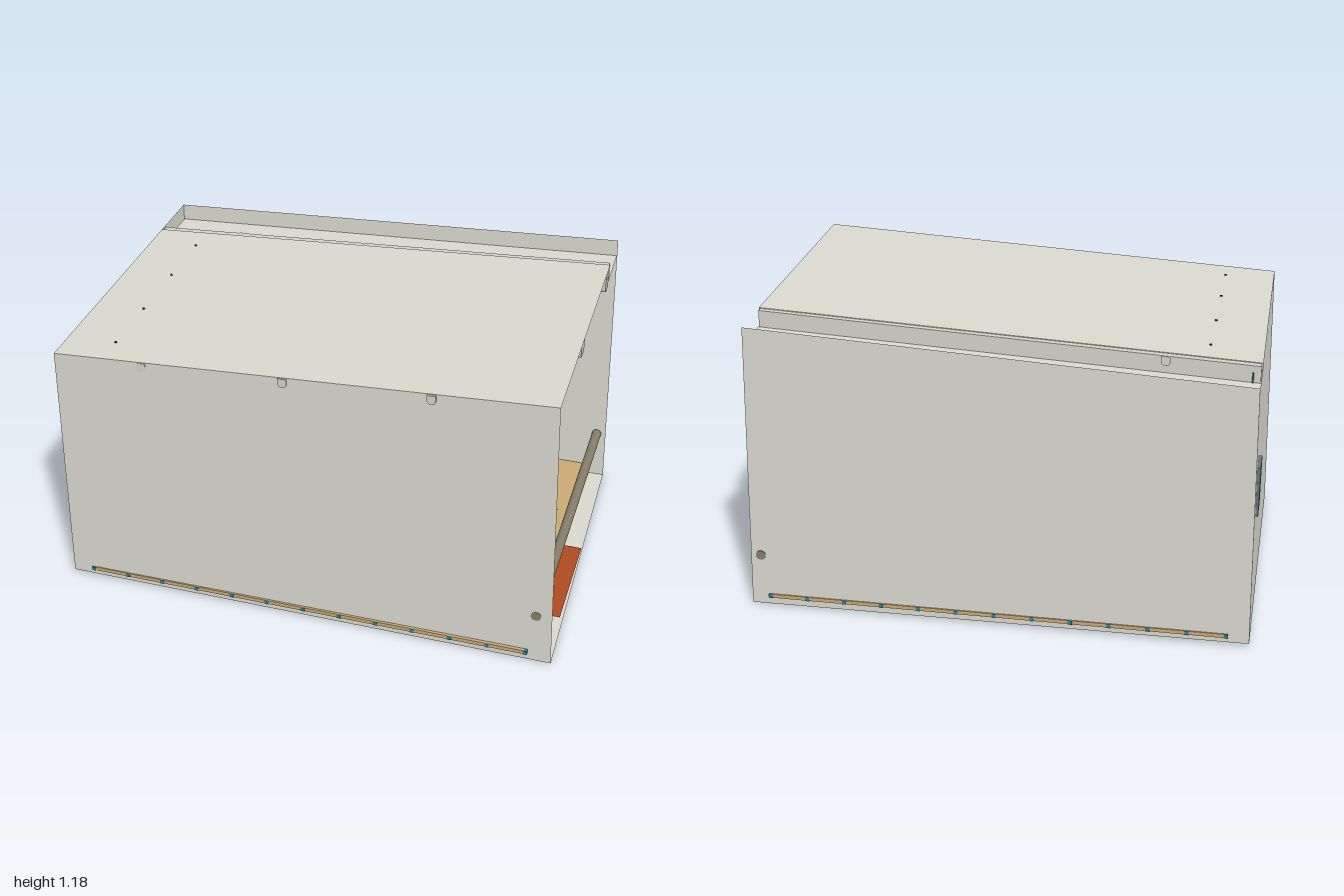
import * as THREE from 'three';
import { mergeGeometries } from 'three/addons/utils/BufferGeometryUtils.js';

const mat = (name, color) => Object.assign(new THREE.MeshStandardMaterial({ color }), { name });

export function createModel() {
  const root = new THREE.Group();
  root.name = 'openRoom';
  const shellMat = mat('pale grey shell', 0xd9d8ce);
  shellMat.side = THREE.DoubleSide;
  const beamMat = mat('light grey steel', 0xd2d0c8);
  const tan = mat('plywood tan', 0xc9a873);
  const teal = mat('teal', 0x2f7f92);
  const rust = mat('rust orange', 0xad4a20);
  rust.side = THREE.DoubleSide;
  const slate = mat('slate', 0x66727d);
  const brown = mat('pole brown grey', 0x857d69);
  const dark = mat('dark cable', 0x2c3a42);

  const add = (name, geometry, material, x = 0, y = 0, z = 0) => {
    const mesh = new THREE.Mesh(geometry, material);
    mesh.name = name;
    mesh.position.set(x, y, z);
    root.add(mesh);
    return mesh;
  };
  // box given by its lower and upper corner
  const box = (name, material, a, b) => add(name,
    new THREE.BoxGeometry(b[0] - a[0], b[1] - a[1], b[2] - a[2]), material,
    (a[0] + b[0]) / 2, (a[1] + b[1]) / 2, (a[2] + b[2]) / 2);
  // four corners, counter-clockwise seen from outside
  const quad = (name, material, ...p) => {
    const g = new THREE.BufferGeometry();
    g.setAttribute('position', new THREE.Float32BufferAttribute(p.flat(), 3));
    g.setIndex([0, 1, 2, 0, 2, 3]);
    g.computeVertexNormals();
    return add(name, g, material);
  };
  // height of the sloping roof at x
  const roofY = x => 1.1246 + 0.0565 * x;

  // shell: slightly skewed room, open at +x
  const low = { fl: [-1, 0.015, 0.66], fr: [1, 0, 0.648], br: [0.975, 0.005, -0.668], bl: [-1, 0.015, -0.668] };
  const top = {
    fl: [-0.982, roofY(-0.982), 0.675], fr: [0.965, roofY(0.965), 0.665],
    br: [0.945, roofY(0.945), -0.668], bl: [-0.985, roofY(-0.985), -0.668],
  };
  const edgeR = [0.95, roofY(0.95), -0.445], edgeL = [-0.985, roofY(-0.985), -0.415];
  const drop = ([x, y, z], d = 0.07) => [x, y - d, z];
  quad('frontWall', shellMat, low.fl, low.fr, top.fr, top.fl);
  quad('backWall', shellMat, low.br, low.bl, top.bl, top.br);
  quad('endWall', shellMat, low.bl, low.fl, top.fl, top.bl);
  quad('floor', shellMat, low.fl, low.bl, low.br, low.fr);
  quad('mainRoof', shellMat, top.fl, top.fr, edgeR, edgeL);
  quad('gutterRoof', shellMat, drop(edgeL), drop(edgeR), drop(top.br), drop(top.bl));
  quad('roofStep', shellMat, edgeR, edgeL, drop(edgeL), drop(edgeR));

  // profile with flat top at y = 0 and rounded bottom
  const roundedProfile = (w, h, r) => {
    const s = new THREE.Shape();
    s.moveTo(-w / 2, 0);
    s.lineTo(-w / 2, -h + r);
    s.quadraticCurveTo(-w / 2, -h, -w / 2 + r, -h);
    s.lineTo(w / 2 - r, -h);
    s.quadraticCurveTo(w / 2, -h, w / 2, -h + r);
    s.lineTo(w / 2, 0);
    return s;
  };
  // main beams follow the roof slope and run slightly skewed
  const beam = (name, zLeft, zRight) => {
    const x0 = -0.98, length = 1.925;
    const g = new THREE.ExtrudeGeometry(roundedProfile(0.066, 0.108, 0.022),
      { depth: length, bevelEnabled: false, curveSegments: 6 });
    g.rotateY(Math.PI / 2);
    const p = g.attributes.position;
    for (let i = 0; i < p.count; i++) {
      const x = p.getX(i) + x0;
      p.setXYZ(i, x, p.getY(i) + roofY(x) - 0.003,
        p.getZ(i) + THREE.MathUtils.lerp(zLeft, zRight, (x - x0) / length));
    }
    g.computeVertexNormals();
    add(name, g, beamMat);
  };
  beam('middleBeam', 0.138, 0.1);
  beam('edgeBeam', -0.412, -0.436);

  // cross rails whose ends show through the front wall and the roof step
  const railXs = [-0.625, -0.065, 0.5];
  for (const x of railXs) {
    const g = new THREE.ExtrudeGeometry(roundedProfile(0.034, 0.036, 0.015),
      { depth: 1.13, bevelEnabled: false, curveSegments: 6 });
    add('crossRail', g, beamMat, x, roofY(x) - 0.004, -0.455);
  }

  // plywood deck with joists visible along its edges
  box('deck', tan, [-0.905, 0.034, -0.673], [0.895, 0.05, 0.664]);
  for (let i = 0; i < 13; i++) {
    const x = -0.911 + i * 0.1508;
    box('joist', teal, [x - 0.008, 0.033, -0.675], [x + 0.008, 0.0495, 0.666]);
  }
  const dashes = [];
  for (let x = -0.87; x < 0.88; x += 0.05)
    dashes.push(new THREE.BoxGeometry(0.02, 0.002, 0.005).translate(x, 0.0505, -0.285));
  add('deckSlots', mergeGeometries(dashes), dark);

  // entry mat
  quad('mat', rust, [0.5, 0.054, 0.43], [0.99, 0.054, 0.43], [0.99, 0.054, -0.04], [0.5, 0.054, -0.04]);

  // crossbar at the open end
  add('crossbar', new THREE.CylinderGeometry(0.02, 0.02, 1.325, 20).rotateX(Math.PI / 2), brown, 0.93, 0.221, -0.009);

  // control box set into the end wall
  box('controlBox', slate, [-1.003, 0.52, -0.59], [-0.955, 0.72, -0.475]);

  // hanging units at the closed end, each with two bolts through the roof
  for (const z of [0.4125, -0.155]) {
    box('hangingUnit', slate, [-0.88, 1.025, z - 0.203], [-0.68, 1.041, z + 0.203]);
    for (const s of [-1, 1])
      add('hangerBolt', new THREE.CylinderGeometry(0.005, 0.005, 0.05, 8), dark, -0.78, 1.06, z + s * 0.137);
  }

  // cables: straight round pieces joined at corners
  const cable = (name, material, points, r = 0.0035) => {
    const v = points.map(p => new THREE.Vector3(...p));
    const up = new THREE.Vector3(0, 1, 0);
    const parts = v.slice(1).map((b, i) => {
      const d = b.clone().sub(v[i]), n = d.length();
      const q = new THREE.Quaternion().setFromUnitVectors(up, d.normalize());
      const mid = b.clone().add(v[i]).multiplyScalar(0.5);
      return new THREE.CylinderGeometry(r, r, n + r, 6).applyQuaternion(q).translate(mid.x, mid.y, mid.z);
    });
    add(name, mergeGeometries(parts), material);
  };
  const under = (x, z, d = 0.009) => [x, roofY(x) - d, z];

  // ceiling loops in the three open bays
  for (const x of [0.73, 0.215, -0.345])
    for (const z of [0.435, -0.15]) {
      const a = 0.11, b = z > 0 ? 0.135 : 0.11;
      cable('ceilingLoop', dark, [under(x - a, z - b), under(x + a, z - b),
        under(x + a, z + b), under(x - a, z + b), under(x - a, z - b)], 0.005);
      // feed line to the loop
      cable('loopFeed', z > 0 ? dark : rust,
        z > 0 ? [under(x - a, z + b), under(x - a, 0.575)] : [under(x - a, z - b), under(x - a, -0.357)]);
    }
  cable('frontSupply', dark, [[-0.9, 1.03, 0.19], [-0.9, 1.03, 0.575], under(-0.9, 0.575), under(0.62, 0.575)]);
  cable('backSupply', rust, [[-0.9, 1.025, -0.357], under(-0.9, -0.357), under(0.62, -0.357)]);

  // risers from the control box
  cable('rustRiser', rust, [[-0.975, 0.72, -0.565], [-0.975, 0.988, -0.565], [-0.95, 0.988, -0.45]]);
  cable('tealRiser', teal, [[-0.975, 0.72, -0.533], [-0.975, 0.995, -0.533], [-0.95, 0.995, -0.45]]);
  cable('darkRiser', dark, [[-0.975, 0.72, -0.5], [-0.975, 0.98, -0.5], [-0.95, 0.98, -0.45]]);

  // cables wrapped under both beams and joined along the ceiling
  for (const [zMid, half] of [[0.142, 0.044], [-0.412, 0.037]])
    [[teal, -0.95, 0], [dark, -0.93, 0.009]].forEach(([m, x, d]) =>
      cable('beamWrap', m, [[x, 1.04, zMid + half - d], [x, 0.951 + d, zMid + half - d],
        [x, 0.951 + d, zMid - half + d], [x, 1.04, zMid - half + d]]));
  cable('ceilingLink', teal, [[-0.95, 1.04, 0.098], [-0.95, 1.04, -0.375]]);

  return root;
}
